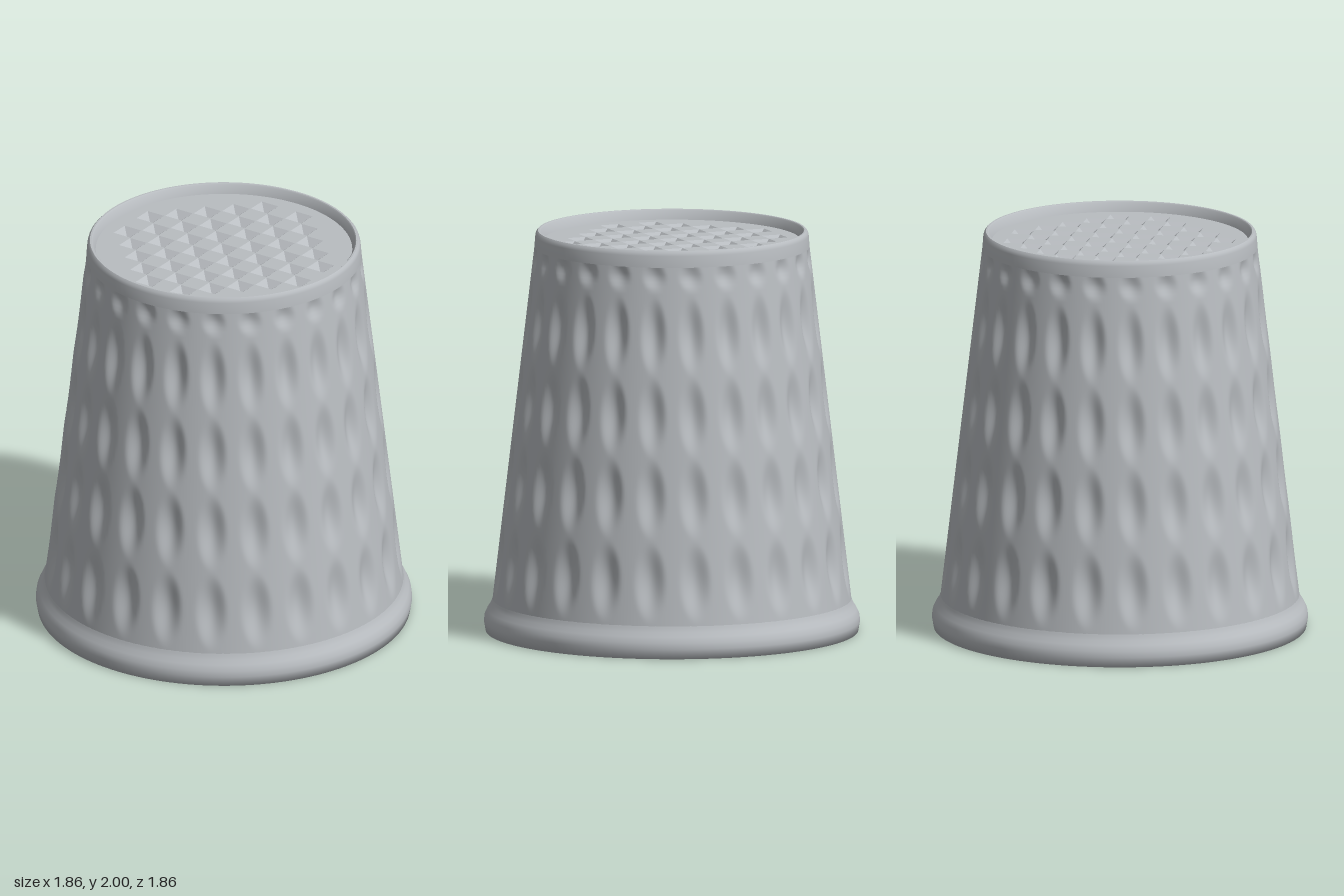
import * as THREE from 'three';
import { mergeGeometries, mergeVertices, toCreasedNormals } from 'three/addons/utils/BufferGeometryUtils.js';

const steel = new THREE.MeshStandardMaterial({ color: 0xb9bdc1 });
steel.name = 'steel grey';

const WALL_BOTTOM = 0.13, WALL_TOP = 1.925, PLATE_Y = 1.95;
const wallRadius = y => THREE.MathUtils.mapLinear(y, 0.14, 1.92, 0.888, 0.679);

// Dimple rows: height of centre, half height, depth
const DIMPLE_ROWS = [
  [0.37, 0.2, 0.03], [0.78, 0.2, 0.03], [1.18, 0.2, 0.03], [1.58, 0.2, 0.03], [1.87, 0.07, 0.018],
];

// Revolved profile, creased where it bends more than the given angle
function turned(points, crease = 0.6) {
  const profile = points.map(([r, y]) => new THREE.Vector2(r, y));
  return toCreasedNormals(new THREE.LatheGeometry(profile, 128), crease);
}

// Tapered wall pressed in by 24 columns of narrow oval dimples
function dimpledWall() {
  const columns = 24, rows = 90, step = Math.PI * 2 / columns;
  const profile = [];
  for (let i = 0; i <= rows; i++) {
    const y = THREE.MathUtils.lerp(WALL_BOTTOM, WALL_TOP, i / rows);
    profile.push(new THREE.Vector2(wallRadius(y), y));
  }
  let geo = new THREE.LatheGeometry(profile, columns * 16);
  const p = geo.attributes.position;
  for (let i = 0; i < p.count; i++) {
    const x = p.getX(i), y = p.getY(i), z = p.getZ(i);
    const angle = Math.atan2(x, z);
    const du = (angle - Math.round(angle / step) * step) / (step * 0.36);
    for (const [centre, half, depth] of DIMPLE_ROWS) {
      const dv = (y - centre) / half;
      const d2 = du * du + dv * dv;
      if (d2 >= 1) continue;
      const k = 1 - depth * (1 - d2) ** 2 / Math.hypot(x, z);
      p.setXYZ(i, x * k, y, z * k);
    }
  }
  geo.deleteAttribute('uv');
  geo.deleteAttribute('normal');
  geo = mergeVertices(geo, 1e-5);
  geo.computeVertexNormals();
  return geo;
}

// Centres of the pits on the top: a 7 by 7 grid without its corners
function pitCentres() {
  const centres = [];
  for (let i = -3; i <= 3; i++) {
    for (let j = -3; j <= 3; j++) {
      if (Math.abs(i) + Math.abs(j) < 6) centres.push([i * 0.1435, j * 0.1435]);
    }
  }
  return centres;
}

export function createModel() {
  const model = new THREE.Group();
  model.name = 'thimble';
  const add = (name, geometry) => {
    const mesh = new THREE.Mesh(geometry, steel);
    mesh.name = name;
    model.add(mesh);
    return mesh;
  };

  add('dimpledWall', dimpledWall());

  // Hollow inside, running smoothly into the rolled lip at the foot
  add('innerCeiling', turned([[0, 1.86], [0.605, 1.86]]));
  add('innerWallAndLip', turned([
    [0.605, 1.86], [0.8, 0.04], [0.807, 0], [0.92, 0], [0.929, 0.05], [0.925, 0.08],
    [0.912, 0.108], [0.897, 0.13], [0.889, 0.15], [0.882, 0.17],
  ], 2));

  // Plain band around the top edge, sloping inwards to the plate
  add('topBand', turned([
    [0.6795, 1.918], [0.675, 1.975], [0.671, 1.99], [0.662, 2],
    [0.653, 2], [0.647, 1.994], [0.632, PLATE_Y - 0.005],
  ]));

  // Recessed top plate with diamond openings for the pits
  const pitSize = 0.069, pitDepth = 0.04;
  const disc = new THREE.Shape().absarc(0, 0, 0.636, 0, Math.PI * 2);
  for (const [x, z] of pitCentres()) {
    const corners = [[1, 0], [0, -1], [-1, 0], [0, 1]]
      .map(([a, b]) => new THREE.Vector2(x + a * pitSize, z + b * pitSize));
    disc.holes.push(new THREE.Path(corners));
  }
  const plate = new THREE.ShapeGeometry(disc, 64);
  plate.rotateX(-Math.PI / 2);
  add('topPlate', plate).position.y = PLATE_Y;

  // Four-sided pits sunk into the plate
  const pit = new THREE.LatheGeometry(
    [new THREE.Vector2(pitSize, 0), new THREE.Vector2(0, -pitDepth)], 4).toNonIndexed();
  pit.computeVertexNormals();
  const pits = pitCentres().map(([x, z]) => pit.clone().translate(x, 0, z));
  add('topPits', mergeGeometries(pits)).position.y = PLATE_Y;

  return model;
}
